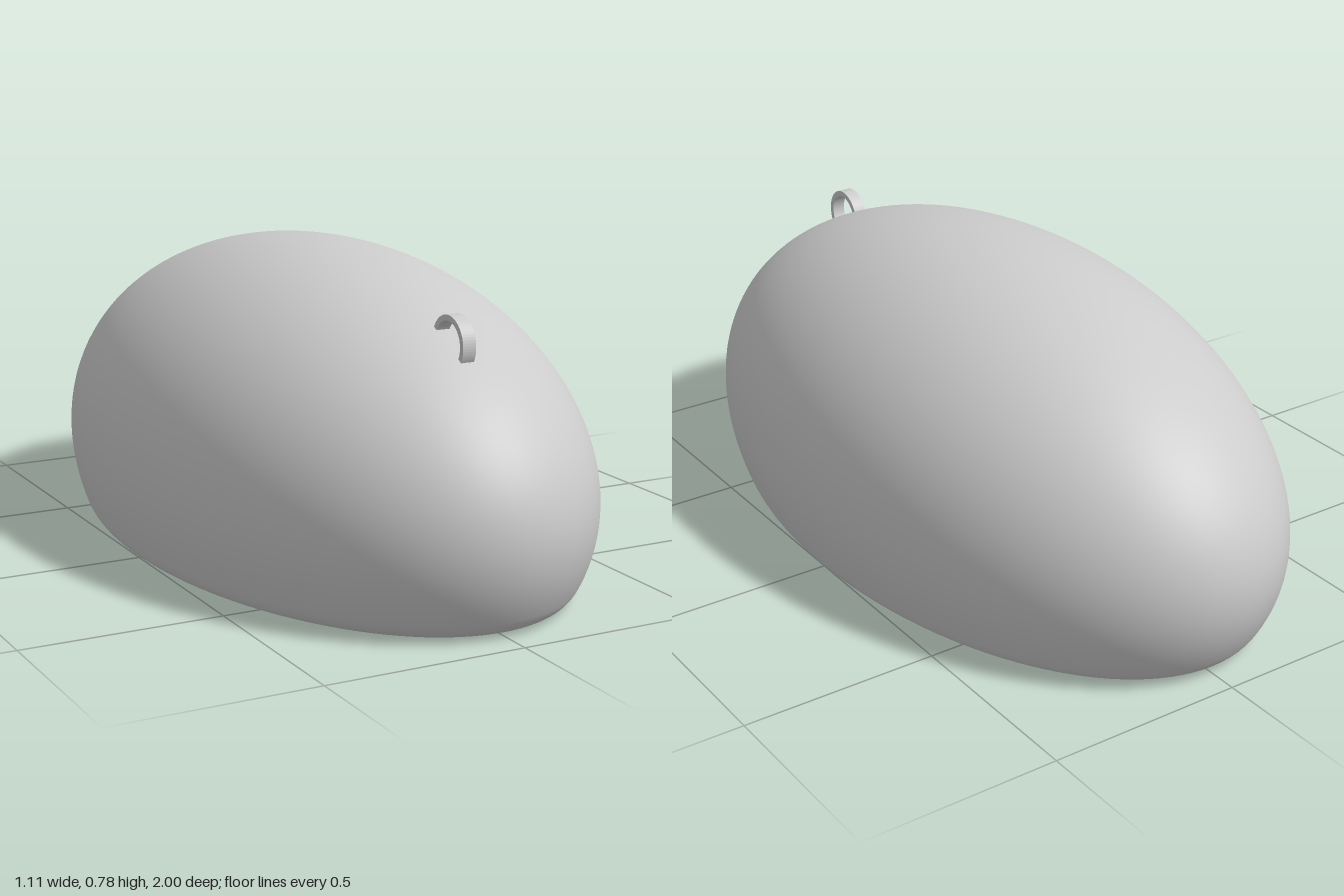
import * as THREE from 'three';

const material = new THREE.MeshStandardMaterial({ color: 0xcccccc });

// Round dome with a flat, softly rounded base, stretched along z
function makeBody() {
  const radius = 0.555, centerY = 0.222, steps = 64;
  const points = [new THREE.Vector2(0, 0.002), new THREE.Vector2(0.25, 0.002), new THREE.Vector2(0.475, 0.002)];
  const start = Math.asin((0.045 - centerY) / radius);
  const edge = new THREE.Vector2(radius * Math.cos(start), 0.045);
  const fillet = new THREE.CubicBezierCurve(
    new THREE.Vector2(0.485, 0.002), new THREE.Vector2(0.505, 0.003),
    new THREE.Vector2(0.517, 0.018), edge);
  points.push(...fillet.getPoints(10));
  for (let i = 1; i <= steps; i++) {
    const a = start + (Math.PI / 2 - start) * i / steps;
    points.push(new THREE.Vector2(i === steps ? 0 : radius * Math.cos(a), centerY + radius * Math.sin(a)));
  }
  const geometry = new THREE.LatheGeometry(points, 128);
  geometry.scale(1, 1, 1 / radius);
  geometry.computeBoundingBox();
  const body = new THREE.Mesh(geometry, material);
  body.name = 'body';
  return body;
}

// Flat band ring standing in the front slope, its axis across the body
function makeLoop() {
  const width = 0.034;
  const shape = new THREE.Shape().absarc(0, 0, 0.068, 0, Math.PI * 2);
  shape.holes.push(new THREE.Path().absarc(0, 0, 0.054, 0, Math.PI * 2, true));
  const geometry = new THREE.ExtrudeGeometry(shape, { depth: width, bevelEnabled: false, curveSegments: 32 });
  geometry.translate(0, 0, -width / 2);
  geometry.rotateY(Math.PI / 2);
  const loop = new THREE.Mesh(geometry, material);
  loop.name = 'frontLoop';
  loop.position.set(0, 0.628, 0.68);
  return loop;
}

export function createModel() {
  const model = new THREE.Group();
  model.name = 'domedBody';
  model.add(makeBody(), makeLoop());
  return model;
}
